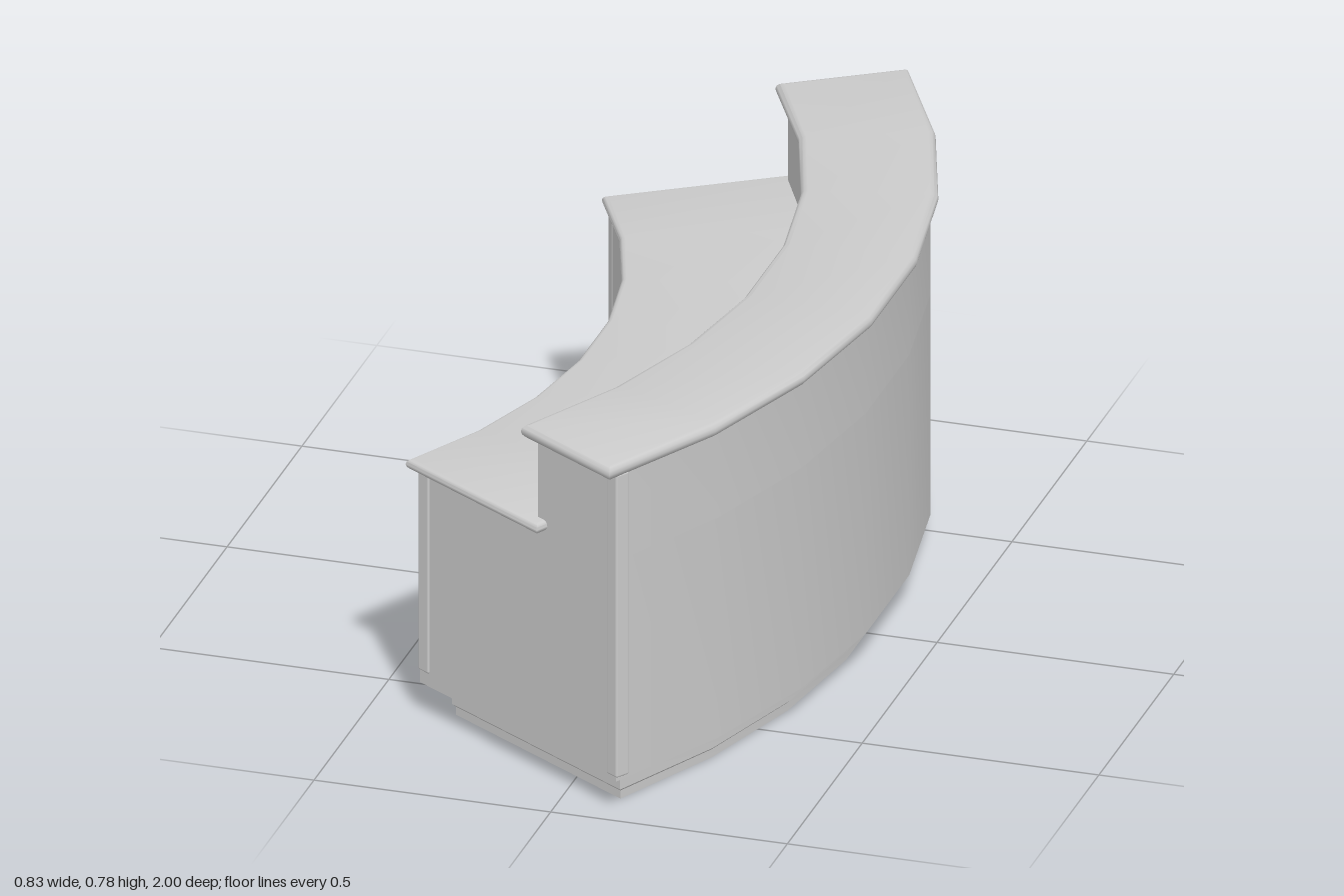
import * as THREE from 'three';
import { toCreasedNormals } from 'three/addons/utils/BufferGeometryUtils.js';
import { RoundedBoxGeometry } from 'three/addons/geometries/RoundedBoxGeometry.js';

const CX = -1.44;                              // x of the arc centre
const A = THREE.MathUtils.degToRad(32.6);      // half angle of the arc
const N = 7;                                   // segments along the arc
const material = new THREE.MeshStandardMaterial({ color: 0xcccccc });

// Arc-shaped slab between radii r0 and r1, lofted through levels [y, inset];
// the two ends are pulled in by `end` plus the inset.
function arcSlab(name, r0, r1, end, levels) {
  const pos = [], idx = [], M = 2 * (N + 1);
  for (const [y, d] of levels) {
    for (let k = 0; k < M; k++) {
      const outer = k <= N;
      const r = outer ? r1 - d : r0 + d;
      const t = outer ? k / N : (M - 1 - k) / N;
      const a = (2 * t - 1) * (A - Math.asin((end + d) / r));
      pos.push(CX + r * Math.cos(a), y, r * Math.sin(a));
    }
  }
  for (let l = 0; l < levels.length - 1; l++) {
    for (let k = 0; k < M; k++) {
      const b0 = l * M + k, b1 = l * M + (k + 1) % M;
      idx.push(b0, b0 + M, b1 + M, b0, b1 + M, b1);
    }
  }
  const top = (levels.length - 1) * M;
  for (let k = 0; k < N; k++) {
    const o0 = k, o1 = k + 1, i0 = M - 1 - k, i1 = M - 2 - k;
    idx.push(top + o0, top + i0, top + i1, top + o0, top + i1, top + o1);
    idx.push(o0, i1, i0, o0, o1, i1);
  }
  const g = new THREE.BufferGeometry();
  g.setAttribute('position', new THREE.Float32BufferAttribute(pos, 3));
  g.setIndex(idx);
  const mesh = new THREE.Mesh(toCreasedNormals(g, 0.6), material);
  mesh.name = name;
  return mesh;
}

// Levels of a worktop with a half-round edge
function roundEdge(y0, y1) {
  const r = (y1 - y0) / 2, levels = [];
  for (let i = 0; i <= 6; i++) {
    const t = (i / 6 - 0.5) * Math.PI;
    levels.push([y0 + r + r * Math.sin(t), r * (1 - Math.cos(t))]);
  }
  return levels;
}

// Vertical corner trim at one end (side = 1 or -1), centred on radius r
function cornerTrim(name, r, side, y0, y1) {
  const mesh = new THREE.Mesh(new RoundedBoxGeometry(0.034, y1 - y0, 0.034, 2, 0.005), material);
  const a = A * side, off = 0.044 * side;
  mesh.position.set(
    CX + r * Math.cos(a) + off * Math.sin(a),
    (y0 + y1) / 2,
    r * Math.sin(a) - off * Math.cos(a)
  );
  mesh.rotation.y = -a;
  mesh.name = name;
  return mesh;
}

export function createModel() {
  const group = new THREE.Group();
  group.name = 'curvedCounter';

  // Recessed plinth with a moulded band
  group.add(arcSlab('plinth', 1.279, 1.795, 0.082, [
    [0, 0], [0.018, 0], [0.024, -0.006], [0.046, -0.006], [0.054, 0.004], [0.066, 0.006],
  ]));

  // Body: full-depth cabinet and the raised outer part
  group.add(arcSlab('cabinet', 1.226, 1.841, 0.03, [[0.062, 0.06], [0.07, 0], [0.56, 0]]));
  group.add(arcSlab('riser', 1.597, 1.841, 0.03, [[0.56, 0], [0.755, 0]]));

  // Worktops
  group.add(arcSlab('lowerWorktop', 1.216, 1.628, 0, roundEdge(0.55, 0.572)));
  group.add(arcSlab('upperWorktop', 1.578, 1.856, 0, roundEdge(0.75, 0.78)));

  // Corner trims on both ends
  for (const side of [1, -1]) {
    group.add(cornerTrim('outerCornerTrim', 1.830, side, 0.08, 0.755));
    group.add(cornerTrim('innerCornerTrim', 1.238, side, 0.098, 0.555));
  }
  return group;
}
